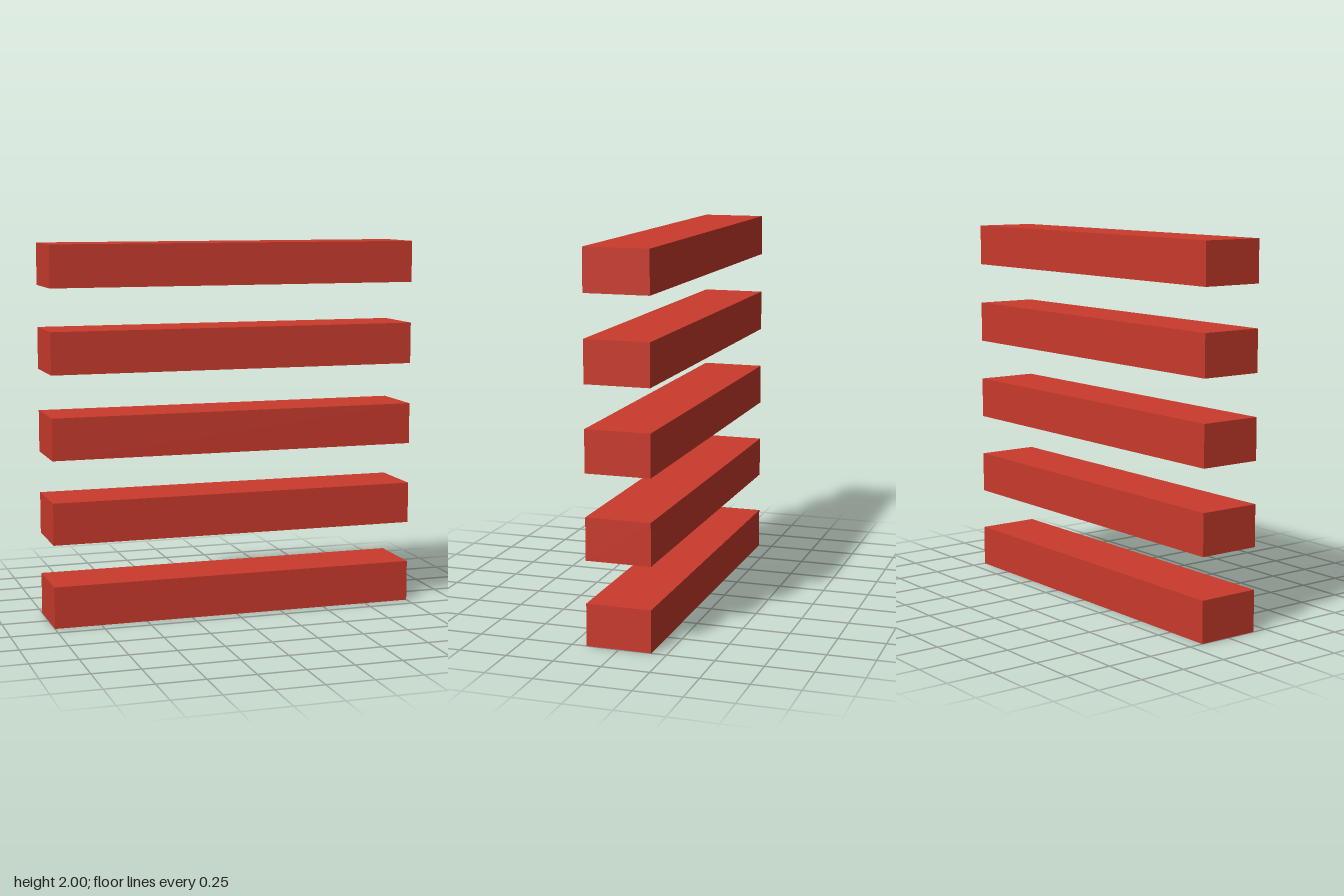
import * as THREE from 'three';

export function createModel() {
  const group = new THREE.Group();
  group.name = 'slats';

  const red = new THREE.MeshStandardMaterial({ color: 0xc93a2c });
  red.name = 'red';

  // Five equal slats with gaps as tall as the slats themselves
  const count = 5;
  const height = 2 / (2 * count - 1);
  const geometry = new THREE.BoxGeometry(2, height, 0.342);

  for (let i = 0; i < count; i++) {
    const slat = new THREE.Mesh(geometry, red);
    slat.name = `slat${i + 1}`;
    slat.position.y = height * (2 * i + 0.5);
    group.add(slat);
  }
  return group;
}
